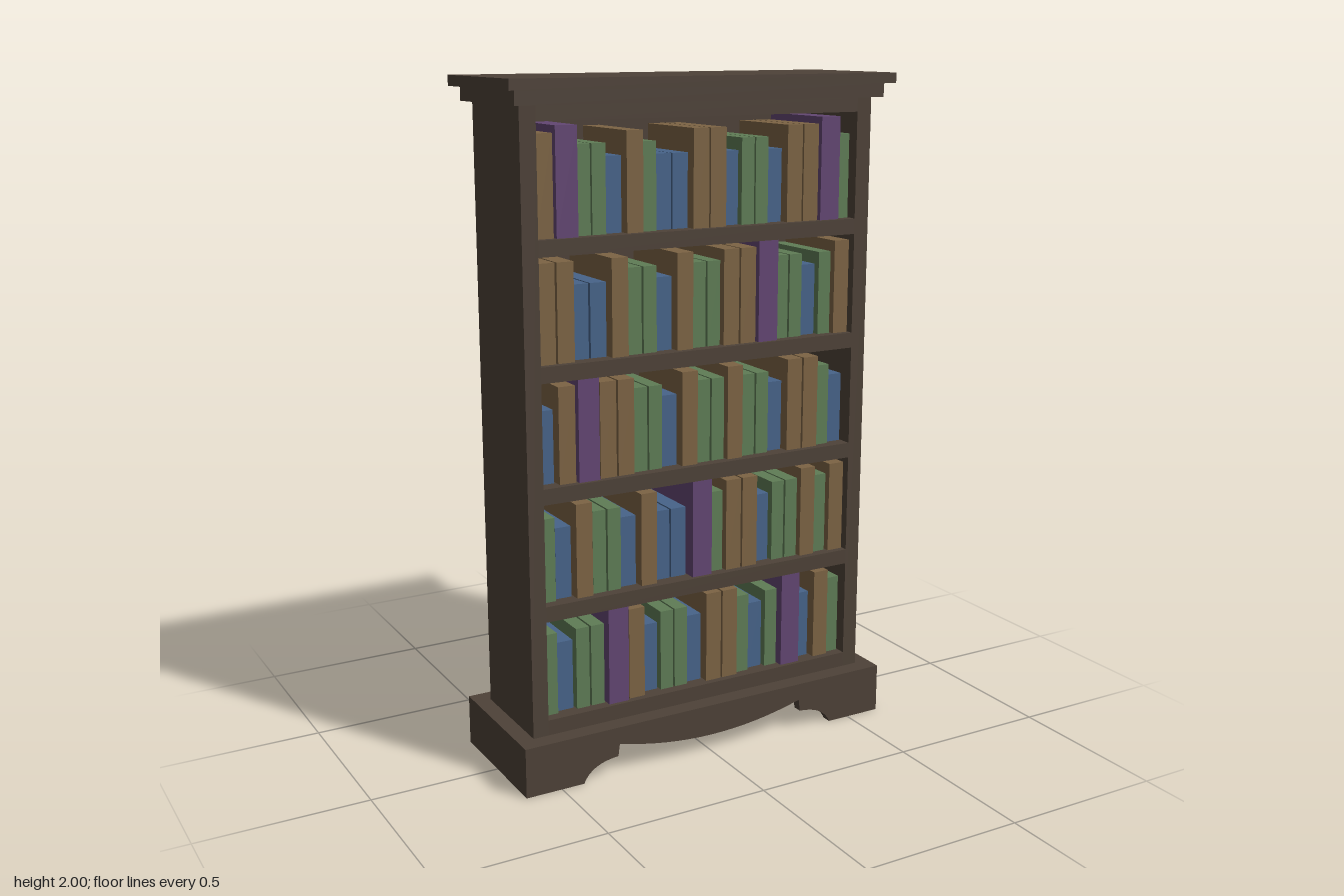
import * as THREE from 'three';

const wood = new THREE.MeshStandardMaterial({ color: 0x4e4238 });

// Book kinds: width, height, setback of the spine from the case front, colour
const kinds = {
  O: { w: 0.051, h: 0.28, inset: 0.02, color: 0x7d6444 },
  P: { w: 0.065, h: 0.3, inset: 0.012, color: 0x634673 },
  G: { w: 0.042, h: 0.248, inset: 0.032, color: 0x5f7d56 },
  B: { w: 0.049, h: 0.212, inset: 0.045, color: 0x47648a },
};
for (const k of Object.values(kinds)) k.material = new THREE.MeshStandardMaterial({ color: k.color });

// Shelf contents, lowest shelf first
const rows = [
  'GBGGPOBGGBOOGBGPBOG',
  'GBOGGBOBBPGOOBGGOGO',
  'BOPOOGGBOGGOGGBOOGB',
  'OOBBOGGBOGGOOPGGBGO',
  'OPGGBOGBBOOBGGBOOPG',
];

const CASE_X = 0.563, CASE_Z = 0.157, INNER_X = 0.515, BACK_Z = -0.13;
const BASE_X = 0.612, BASE_Z = 0.21, BASE_H = 0.15, BOARD = 0.03;
const FIRST = 0.196, PITCH = 0.345, SHELF_T = 0.046;

// Box given by its minimum and maximum along each axis
function box(parent, name, [x0, x1], [y0, y1], [z0, z1], material = wood) {
  const mesh = new THREE.Mesh(new THREE.BoxGeometry(x1 - x0, y1 - y0, z1 - z0), material);
  mesh.position.set((x0 + x1) / 2, (y0 + y1) / 2, (z0 + z1) / 2);
  mesh.name = name;
  parent.add(mesh);
  return mesh;
}

function group(parent, name) {
  const g = new THREE.Group();
  g.name = name;
  parent.add(g);
  return g;
}

// Scalloped front board of the hollow plinth
function makeApron() {
  const s = new THREE.Shape();
  s.moveTo(-BASE_X, 0);
  s.lineTo(-0.43, 0);
  s.quadraticCurveTo(-0.405, 0.056, -0.318, 0.06);
  s.lineTo(-0.313, 0.098);
  s.quadraticCurveTo(0, 0.012, 0.313, 0.098);
  s.lineTo(0.318, 0.06);
  s.quadraticCurveTo(0.405, 0.056, 0.43, 0);
  s.lineTo(BASE_X, 0);
  s.lineTo(BASE_X, BASE_H);
  s.lineTo(-BASE_X, BASE_H);
  const geometry = new THREE.ExtrudeGeometry(s, { depth: BOARD, bevelEnabled: false, curveSegments: 16 });
  geometry.translate(0, 0, BASE_Z - BOARD);
  const mesh = new THREE.Mesh(geometry, wood);
  mesh.name = 'apron';
  return mesh;
}

export function createModel() {
  const model = new THREE.Group();
  model.name = 'bookcase';

  // Plinth: apron, side and back boards, and a top panel inside them
  const plinth = group(model, 'plinth');
  plinth.add(makeApron());
  const insideZ = [-BASE_Z + BOARD, BASE_Z - BOARD];
  box(plinth, 'plinthBack', [-BASE_X, BASE_X], [0, BASE_H], [-BASE_Z, -BASE_Z + BOARD]);
  box(plinth, 'plinthLeft', [BASE_X - BOARD, BASE_X], [0, BASE_H], insideZ);
  box(plinth, 'plinthRight', [-BASE_X, -BASE_X + BOARD], [0, BASE_H], insideZ);
  box(plinth, 'plinthTop', [-BASE_X + BOARD, BASE_X - BOARD], [0.12, BASE_H], insideZ);

  // Case: sides, back panel, shelves and top rail
  const carcass = group(model, 'case');
  const caseY = [BASE_H, 1.93];
  box(carcass, 'leftSide', [INNER_X, CASE_X], caseY, [-CASE_Z, CASE_Z]);
  box(carcass, 'rightSide', [-CASE_X, -INNER_X], caseY, [-CASE_Z, CASE_Z]);
  box(carcass, 'backPanel', [-INNER_X, INNER_X], caseY, [-CASE_Z, BACK_Z]);
  box(carcass, 'topRail', [-INNER_X, INNER_X], [1.888, 1.93], [BACK_Z, CASE_Z]);
  rows.forEach((_, i) => {
    const y = FIRST + i * PITCH;
    box(carcass, 'shelf', [-INNER_X, INNER_X], [y - SHELF_T, y], [BACK_Z, CASE_Z]);
  });

  // Two-step cornice
  const cornice = group(model, 'cornice');
  box(cornice, 'lowerMoulding', [-0.587, 0.587], [1.93, 1.97], [-0.185, 0.185]);
  box(cornice, 'upperMoulding', [-BASE_X, BASE_X], [1.97, 2], [-BASE_Z, BASE_Z]);

  // Books, spread evenly across each shelf
  rows.forEach((row, i) => {
    const shelf = group(model, 'bookRow');
    const books = [...row].map((c) => kinds[c]);
    const total = books.reduce((sum, b) => sum + b.w, 0);
    const gap = (1.022 - total) / (books.length - 1);
    const y = FIRST + i * PITCH;
    let x = -0.511;
    for (const b of books) {
      box(shelf, 'book', [x, x + b.w], [y, y + b.h], [BACK_Z, CASE_Z - b.inset], b.material);
      x += b.w + gap;
    }
  });

  return model;
}
